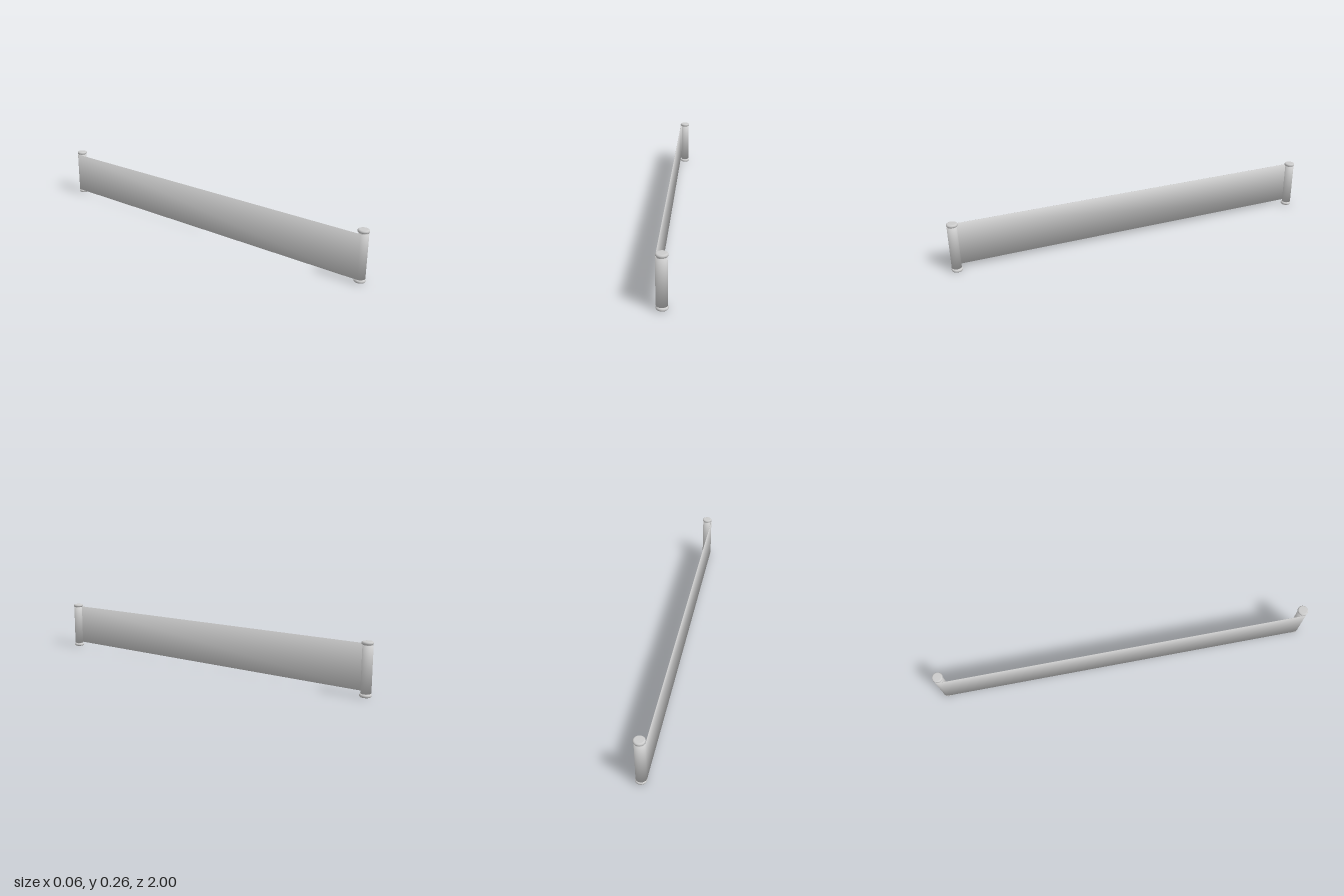
import * as THREE from 'three';

const material = new THREE.MeshStandardMaterial({ color: 0xcccccc, side: THREE.DoubleSide });
const ROLL_Z = 0.972;

// One continuous sheet: rolled up at +z, stretched flat along -x, rolled up at -z.
function makeSheet() {
  const bottom = 0.019, top = 0.243, thickness = 0.0012, steps = 48;
  const path = [];
  for (const end of [1, -1]) {
    for (let i = 0; i <= steps; i++) {
      const t = 2 * Math.PI * (end > 0 ? 1 - i / steps : i / steps);
      path.push({ r: 0.0278 - 0.0036 * t / Math.PI, nx: -Math.cos(t), nz: end * Math.sin(t), z: end * ROLL_Z });
    }
  }

  // Four corners per step; normals lean up and down for a soft shaded edge
  const positions = [], normals = [], index = [];
  const corners = [[1, -1], [1, 1], [-1, 1], [-1, -1]];
  for (const p of path) {
    for (const [side, up] of corners) {
      const r = side > 0 ? p.r : p.r - thickness;
      positions.push(p.nx * r, up > 0 ? top : bottom, p.z + p.nz * r);
      normals.push(side * p.nx * Math.SQRT1_2, up * Math.SQRT1_2, side * p.nz * Math.SQRT1_2);
    }
  }
  for (let i = 0; i < path.length - 1; i++) {
    for (let k = 0; k < 4; k++) {
      const n = (k + 1) % 4;
      const a = i * 4 + k, b = i * 4 + n, c = b + 4, d = a + 4;
      index.push(a, b, c, a, c, d);
    }
  }
  const geometry = new THREE.BufferGeometry();
  geometry.setAttribute('position', new THREE.Float32BufferAttribute(positions, 3));
  geometry.setAttribute('normal', new THREE.Float32BufferAttribute(normals, 3));
  geometry.setIndex(index);
  return geometry;
}

// Flat disc with a rounded rim
function makeKnob() {
  const radius = 0.028, half = 0.008;
  const profile = [new THREE.Vector2(0, -half)];
  for (let i = 0; i <= 10; i++) {
    const a = -Math.PI / 2 + Math.PI * i / 10;
    profile.push(new THREE.Vector2(radius - half + half * Math.cos(a), half * Math.sin(a)));
  }
  profile.push(new THREE.Vector2(0, half));
  return new THREE.LatheGeometry(profile, 32);
}

export function createModel() {
  const model = new THREE.Group();
  model.name = 'scroll';
  const add = (name, geometry, y, z) => {
    const mesh = new THREE.Mesh(geometry, material);
    mesh.name = name;
    mesh.position.set(0, y, z);
    model.add(mesh);
  };

  add('sheet', makeSheet(), 0, 0);

  // A rod with two knobs at each end of the sheet
  const rod = new THREE.CylinderGeometry(0.0195, 0.0195, 0.244, 32);
  const knob = makeKnob();
  for (const [label, z] of [['front', ROLL_Z], ['back', -ROLL_Z]]) {
    add(label + 'Rod', rod, 0.13, z);
    add(label + 'BottomKnob', knob, 0.008, z);
    add(label + 'TopKnob', knob, 0.252, z);
  }
  return model;
}
